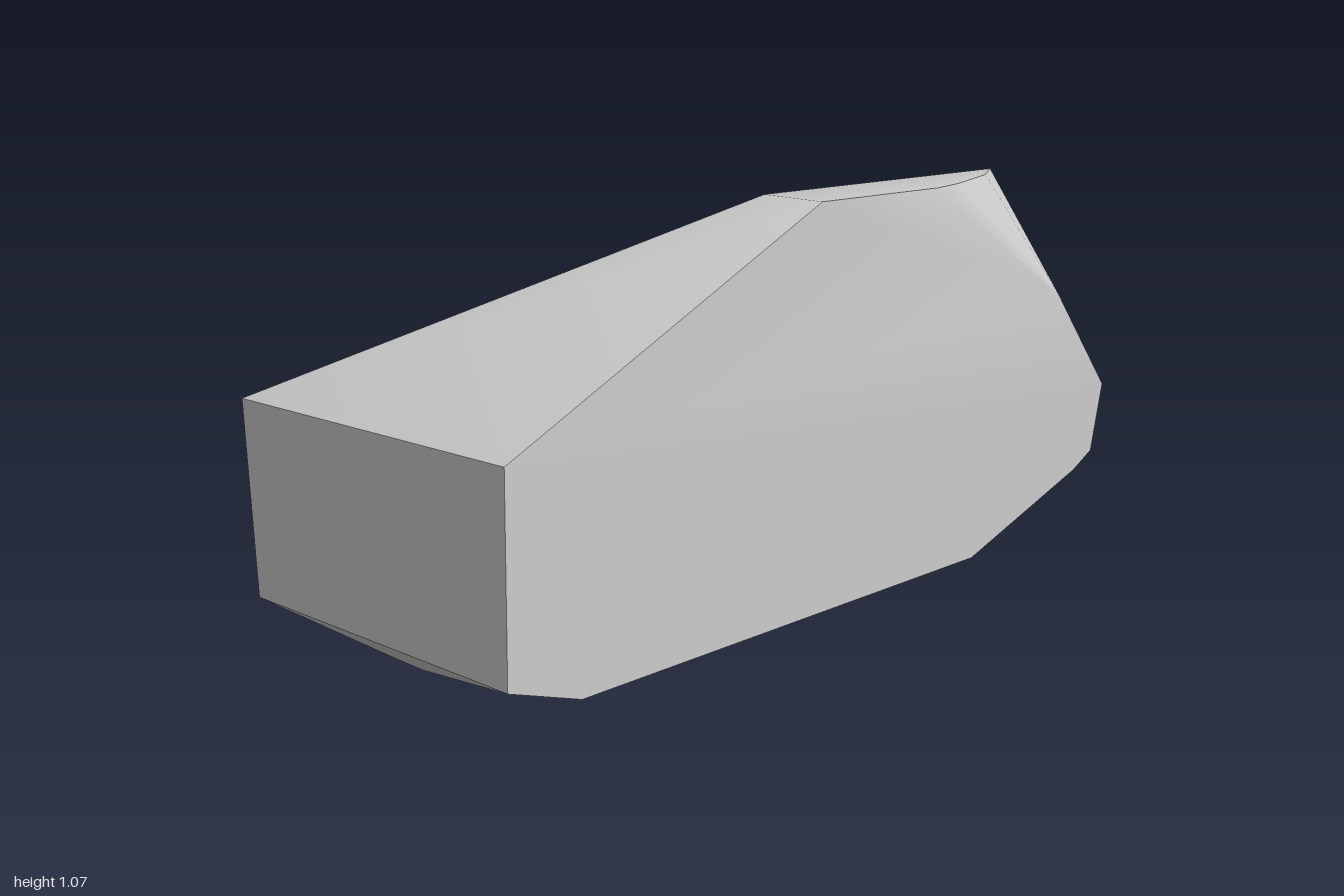
import * as THREE from 'three';
import { ConvexGeometry } from 'three/addons/geometries/ConvexGeometry.js';
import { toCreasedNormals } from 'three/addons/utils/BufferGeometryUtils.js';

export function createModel() {
  const group = new THREE.Group();
  group.name = 'rock';
  const stone = new THREE.MeshStandardMaterial({ color: 0xcccccc });
  stone.name = 'grey stone';

  const front = 0.558;
  // flat cut face at the front, as [x, y]
  const cutFace = [
    [-1, 0.62], [-0.08, 1.07], [0.32, 1.07], [0.8, 0.765], [1, 0.51],
    [0.96, 0.34], [0.89, 0.3], [0.48, 0.145], [-0.8, 0.09], [-1, 0.15],
  ].map(([x, y]) => [x, y, front]);

  // rim of the level top
  const crown = [[0.43, 0.53], [0.63, 0.45], [0.75, 0.37], [-0.07, 0.37]]
    .map(([x, z]) => [x, 1.07, z]);

  // rounded back shoulder and the narrow flat end
  const back = [
    [-1, 0.62, -0.37], [-1, 0.16, -0.33],
    [-0.6, 0.63, -0.53], [-0.4, 0.62, -0.549], [-0.4, 0.585, -0.558],
    [-0.25, 0.62, -0.523], [-0.31, 0.5, -0.525], [-0.43, 0.42, -0.52],
  ];

  // steep side running from the shoulder to the front corner
  const side = [
    [-0.15, 0.53, -0.475], [0, 0.46, -0.39], [0.08, 0.38, -0.31],
    [-0.2, 0.39, -0.41], [0.24, 0.25, -0.13], [0.57, 0.29, 0.14],
  ];

  // underside
  const base = [
    [-0.76, 0, -0.04], [-0.79, 0.02, -0.1], [0.33, 0.05, 0.17],
    [-0.68, 0.045, 0.42],
  ];

  const points = [...cutFace, ...crown, ...back, ...side, ...base]
    .map((p) => new THREE.Vector3(...p));
  const body = new THREE.Mesh(toCreasedNormals(new ConvexGeometry(points), 0.5), stone);
  body.name = 'rockBody';
  group.add(body);
  return group;
}
